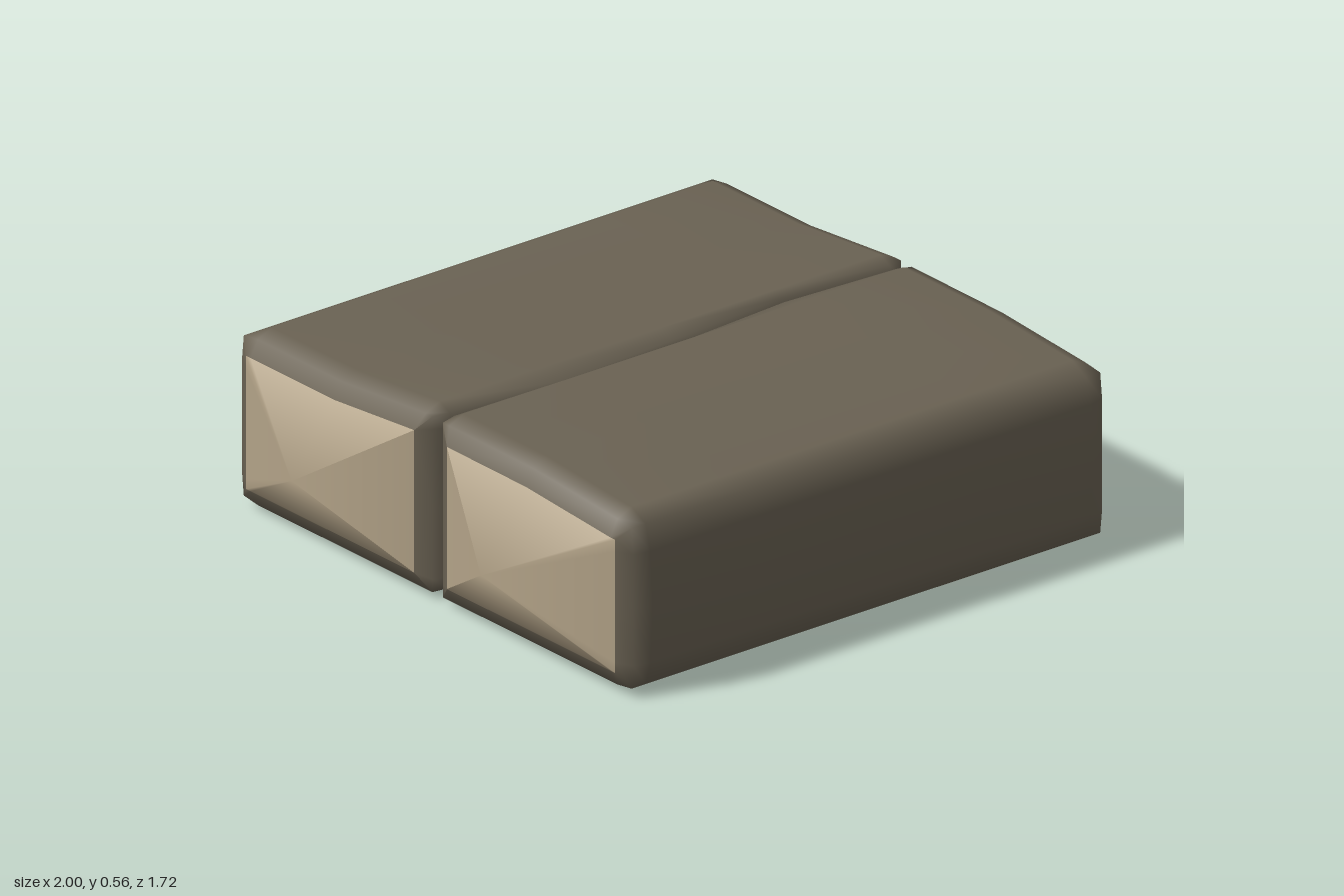
import * as THREE from 'three';

const DEPTH = 0.86, MID_Z = 0.405, MID_Y = 0.27;

// Distances along the block, with the inset of each rounded ring
const STATIONS = [
  [-0.845, 0.07], [-0.82, 0.022], [-0.77, 0], [-0.4, 0], [0, 0],
  [0.4, 0], [0.77, 0], [0.82, 0.022], [0.845, 0.07],
];

// Gentle wander of the seam between the two blocks
const SEAM = { '-0.4': 0.03, '0': 0.01, '0.4': -0.02 };

function makeGeometry(points, index) {
  const g = new THREE.BufferGeometry().setFromPoints(points);
  g.setIndex(index);
  g.computeVertexNormals();
  return g;
}

// Height of the sagging top at distance z from the seam
function topAt(z, [inner, middle, outer]) {
  const { mapLinear, clamp } = THREE.MathUtils;
  return z < 0.41
    ? mapLinear(clamp(z, 0.05, 0.41), 0.05, 0.41, inner, middle)
    : mapLinear(clamp(z, 0.41, 0.77), 0.41, 0.77, middle, outer);
}

// One closed ring of the block at x; side is +1 (front) or -1 (back)
function ring(x, inset, side, tops) {
  const t = (z, drop = 0) => [z, topAt(z, tops) - drop];
  const section = [
    [0, 0.06], [0.02, 0.02], [0.07, 0], [0.41, 0], [0.77, 0], [0.83, 0.03], [0.85, 0.1],
    [DEPTH, MID_Y], [0.85, 0.43], t(0.83, 0.03), t(0.77), t(0.41), t(0.05), t(0.01, 0.02),
    t(0, 0.06), [0, MID_Y],
  ];
  const points = section.map(([z, y]) => {
    const zi = THREE.MathUtils.clamp(z, inset, DEPTH - inset);
    const yi = THREE.MathUtils.clamp(y, inset, topAt(zi, tops) - inset);
    const wander = z < 0.04 ? SEAM[String(x)] || 0 : 0;
    return new THREE.Vector3(x, yi, side * zi + wander);
  });
  return side > 0 ? points : points.reverse();
}

function blockGeometry(side, tops) {
  const rings = STATIONS.map(([x, inset]) => ring(x, inset, side, tops));
  const n = rings[0].length, index = [];
  for (let i = 0; i < rings.length - 1; i++) {
    for (let j = 0; j < n; j++) {
      const a = i * n + j, b = i * n + (j + 1) % n;
      index.push(a, a + n, b, b, a + n, b + n);
    }
  }
  return makeGeometry(rings.flat(), index);
}

// Pointed end closing the block at x = end * 0.845
function endGeometry(end, side, tops) {
  const base = ring(end * 0.845, 0.07, side, tops);
  const n = base.length, index = [];
  for (let j = 0; j < n; j++) {
    const k = (j + 1) % n;
    index.push(n, ...(end > 0 ? [k, j] : [j, k]));
  }
  return makeGeometry([...base, new THREE.Vector3(end, MID_Y, side * MID_Z)], index);
}

export function createModel() {
  const model = new THREE.Group();
  const dark = new THREE.MeshStandardMaterial({ color: 0x6a6253 });
  dark.name = 'dark brown';
  const tan = new THREE.MeshStandardMaterial({ color: 0xb3a388 });
  tan.name = 'pale tan';

  const add = (name, geometry, material, parent) => {
    const mesh = new THREE.Mesh(geometry, material);
    mesh.name = name;
    parent.add(mesh);
  };

  const blocks = [
    ['front', 1, [0.562, 0.56, 0.535]],
    ['back', -1, [0.565, 0.535, 0.535]],
  ];
  for (const [name, side, tops] of blocks) {
    const block = new THREE.Group();
    block.name = `${name}Block`;
    add(`${name}Body`, blockGeometry(side, tops), dark, block);
    add(`${name}LeftEnd`, endGeometry(1, side, tops), tan, block);
    add(`${name}RightEnd`, endGeometry(-1, side, tops), tan, block);
    model.add(block);
  }

  // Small dark mark under the tip of the back block's left end
  const mark = makeGeometry([
    new THREE.Vector3(0.998, 0.264, -0.41),
    new THREE.Vector3(0.973, 0.23, -0.475),
    new THREE.Vector3(0.966, 0.218, -0.45),
    new THREE.Vector3(0.966, 0.218, -0.36),
    new THREE.Vector3(0.973, 0.23, -0.34),
  ], [0, 2, 1, 0, 3, 2, 0, 4, 3]);
  add('endMark', mark, dark, model);

  return model;
}
